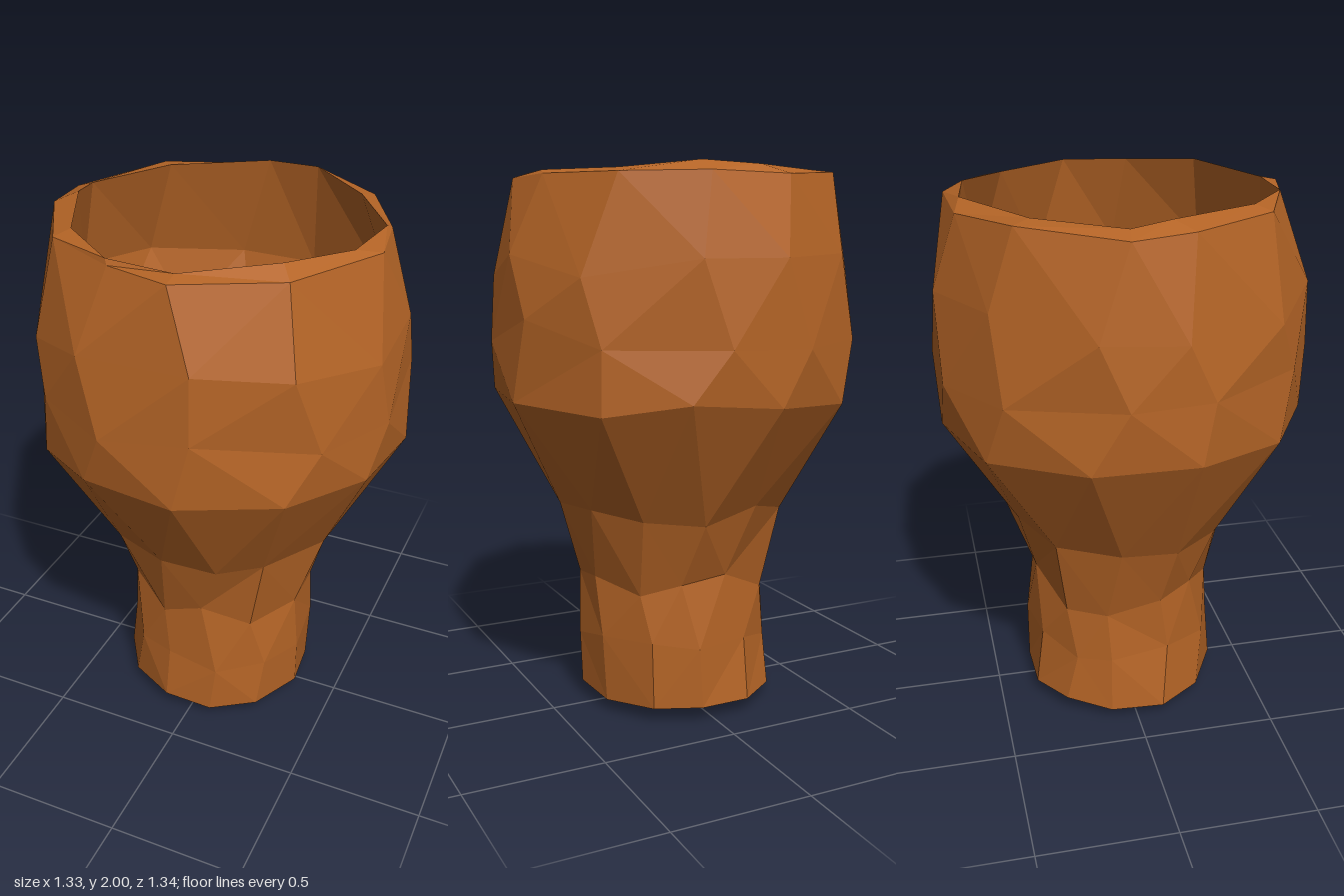
import * as THREE from 'three';

const SIDES = 12;
const STEP = (Math.PI * 2) / SIDES;

// Small seeded generator for the hand-carved irregularity, range -1..1
function makeWobble(seed) {
  let s = seed;
  return () => {
    s = (s * 16807) % 2147483647;
    return (s / 2147483647) * 2 - 1;
  };
}

// Rim outlines as [x, z], running from the back towards the left side
const rimOuter = [[0.15, -0.59], [0.4, -0.42], [0.55, -0.13], [0.585, 0.08], [0.4, 0.42], [0.08, 0.6],
  [-0.15, 0.54], [-0.41, 0.42], [-0.585, 0.12], [-0.61, -0.09], [-0.42, -0.42], [-0.15, -0.575]];
const rimInner = [[0.15, -0.52], [0.37, -0.36], [0.54, -0.1], [0.51, 0.14], [0.36, 0.37], [0.08, 0.54],
  [-0.16, 0.53], [-0.37, 0.37], [-0.52, 0.06], [-0.545, -0.08], [-0.37, -0.36], [-0.05, -0.55]];

export function createModel() {
  const wobble = makeWobble(4711);

  // Irregular polygon ring; turn shifts it by a fraction of one side
  const ring = (y, r, turn, dy, dr, cx = 0) =>
    Array.from({ length: SIDES }, (_, i) => {
      const a = (i + turn + 0.4 + wobble() * 0.15) * STEP;
      const rad = r + wobble() * dr;
      return new THREE.Vector3(cx + Math.sin(a) * rad, y + wobble() * dy, -Math.cos(a) * rad);
    });
  const outline = (pts, y) =>
    pts.map(([x, z]) => new THREE.Vector3(x, y + wobble() * 0.012, z));

  // Flat-shaded shell over a stack of rings, optionally closed at either end
  const shell = (name, rings, material, bottom, top) => {
    const pos = [];
    const tri = (a, b, c) => pos.push(...a.toArray(), ...b.toArray(), ...c.toArray());
    for (let k = 0; k < rings.length - 1; k++) {
      for (let i = 0; i < SIDES; i++) {
        const j = (i + 1) % SIDES;
        const a = rings[k][i], b = rings[k][j], c = rings[k + 1][i], d = rings[k + 1][j];
        // Split each quad along its shorter diagonal
        if (a.distanceTo(d) < b.distanceTo(c)) {
          tri(a, d, b);
          tri(a, c, d);
        } else {
          tri(a, c, b);
          tri(b, c, d);
        }
      }
    }
    const last = rings[rings.length - 1];
    for (let i = 0; i < SIDES; i++) {
      const j = (i + 1) % SIDES;
      if (bottom) tri(bottom, rings[0][i], rings[0][j]);
      if (top) tri(top, last[j], last[i]);
    }
    const geo = new THREE.BufferGeometry();
    geo.setAttribute('position', new THREE.Float32BufferAttribute(pos, 3));
    geo.computeVertexNormals();
    const mesh = new THREE.Mesh(geo, material);
    mesh.name = name;
    return mesh;
  };

  const clay = new THREE.MeshStandardMaterial({ color: 0xb46426, flatShading: true, side: THREE.DoubleSide });

  // Outer rings from the foot up to the rim
  const sole = ring(0.008, 0.18, 0, 0.004, 0.02);
  const foot = ring(0.05, 0.372, 0, 0.012, 0.01, -0.015);
  const lowStem = ring(0.27, 0.362, 0, 0.04, 0.008);
  const neck = ring(0.5, 0.35, 0.2, 0.05, 0.01);
  const flare = ring(0.78, 0.43, 0, 0.03, 0.012);
  const belly = ring(1.2, 0.672, 0.25, 0.025, 0.008);
  const middle = ring(1.43, 0.677, 0, 0.06, 0.008);
  const shoulder = ring(1.67, 0.66, 0.25, 0.06, 0.01);
  const lip = outline(rimOuter, 1.968);
  const lipInner = outline(rimInner, 1.988);

  // Inner rings: the cavity widens below the rim, then tapers to the floor
  const innerBulge = ring(1.63, 0.62, 0, 0.04, 0.01);
  const innerTaper = ring(1.4, 0.56, 0.2, 0.04, 0.015);
  const floorEdge = ring(1.18, 0.4, 0, 0.03, 0.03);

  const goblet = new THREE.Group();
  goblet.name = 'goblet';
  goblet.add(
    shell('stem', [sole, foot, lowStem, neck, flare], clay, new THREE.Vector3(0, 0, 0), null),
    shell('bowl', [flare, belly, middle, shoulder, lip], clay, null, null),
    shell('rim', [lip, lipInner], clay, null, null),
    shell('bowlInside', [lipInner, innerBulge, innerTaper, floorEdge], clay, null, new THREE.Vector3(0.02, 1.15, 0.03)),
  );
  return goblet;
}
